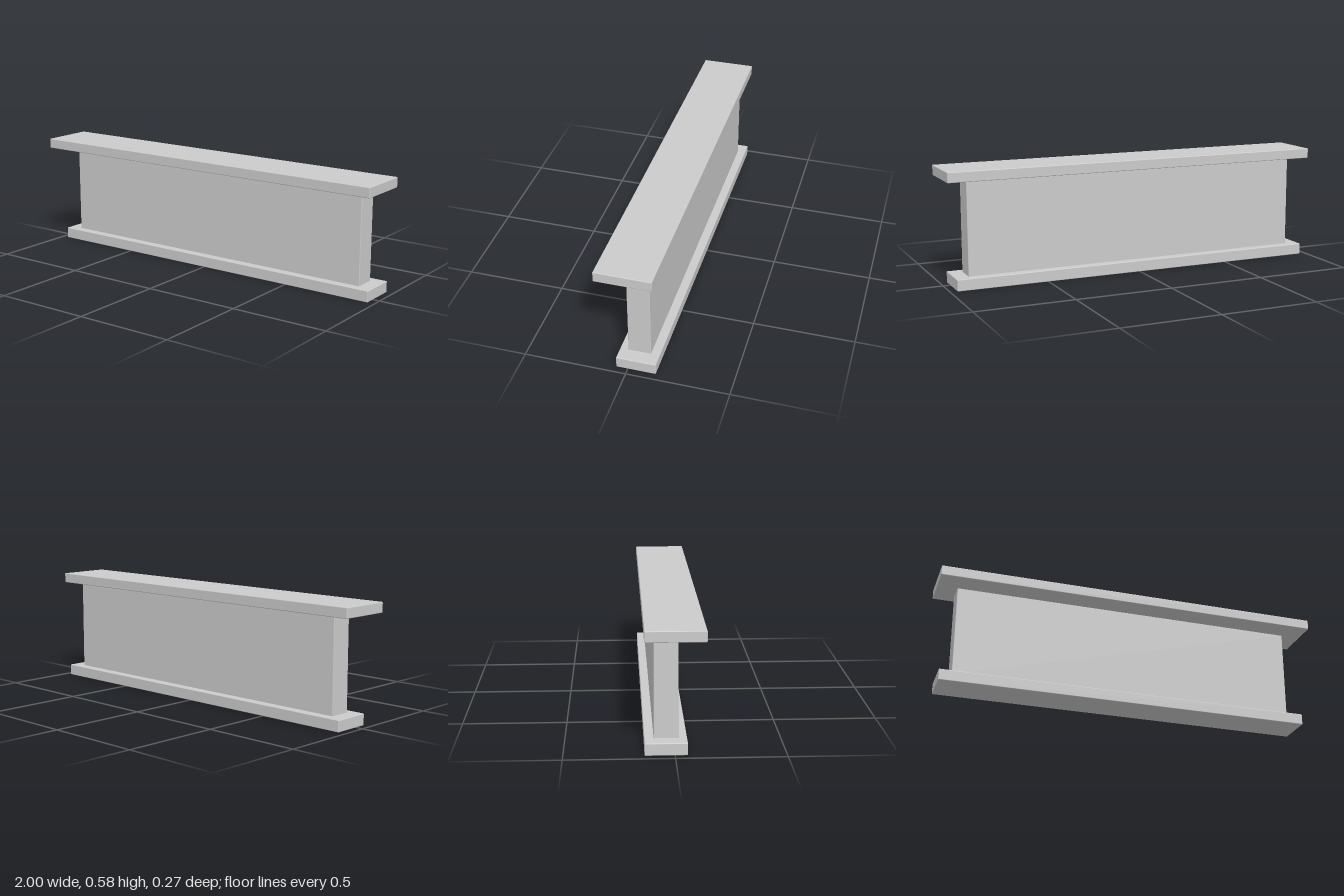
import * as THREE from 'three';
import { RoundedBoxGeometry } from 'three/addons/geometries/RoundedBoxGeometry.js';

const EDGE = 0.004; // softened edge radius

export function createModel() {
  const group = new THREE.Group();
  group.name = 'wallSection';
  const material = new THREE.MeshStandardMaterial({ color: 0xcccccc });

  // Slab centred on x, given by its length and its y and z ranges
  function addSlab(name, length, [y0, y1], [z0, z1]) {
    const geometry = new RoundedBoxGeometry(length, y1 - y0, z1 - z0, 2, EDGE);
    const mesh = new THREE.Mesh(geometry, material);
    mesh.name = name;
    mesh.position.set(0, (y0 + y1) / 2, (z0 + z1) / 2);
    group.add(mesh);
  }

  // Narrow plinth, flush with the top slab at the back
  addSlab('base', 1.932, [0, 0.058], [-0.137, 0.057]);
  // Upright panel, its ends sunk slightly into both slabs
  addSlab('panel', 1.794, [0.058 - EDGE, 0.529 + EDGE], [-0.094, 0.017]);
  // Wide overhanging top
  addSlab('topSlab', 2, [0.529, 0.581], [-0.137, 0.137]);

  return group;
}
